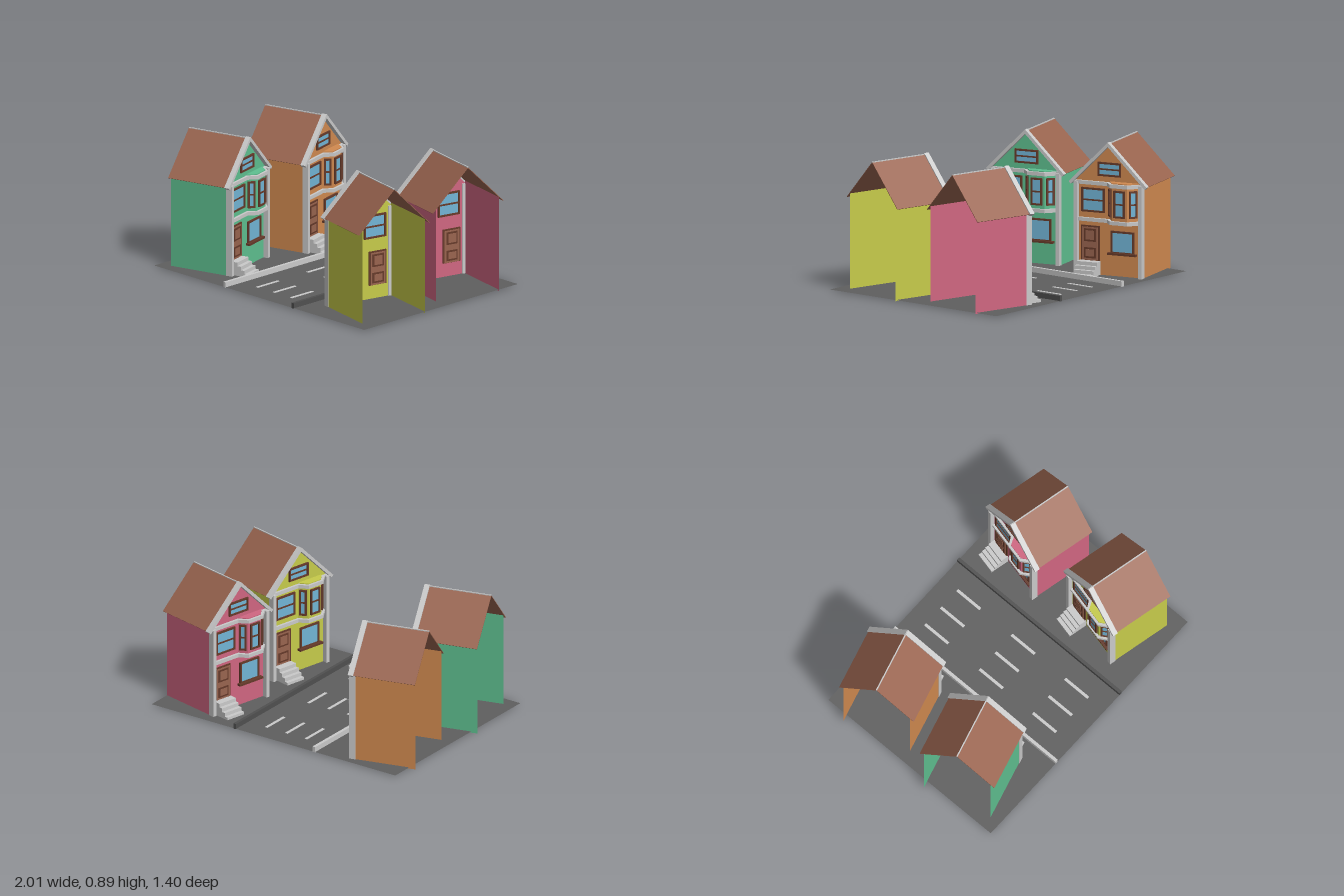
import * as THREE from 'three';

const mat = (name, color, side = THREE.FrontSide) => {
  const m = new THREE.MeshStandardMaterial({ color, side });
  m.name = name;
  return m;
};

export function createModel() {
  const green = mat('green wall', 0x5fc090, THREE.DoubleSide);
  const orange = mat('orange wall', 0xd18a50, THREE.DoubleSide);
  const pink = mat('pink wall', 0xd06681, THREE.DoubleSide);
  const yellow = mat('yellow wall', 0xc6cb4a, THREE.DoubleSide);
  const roofBrown = mat('roof brown', 0x99644f, THREE.DoubleSide);
  const frameBrown = mat('frame brown', 0x663a2a);
  const glass = mat('glass blue', 0x72b5d6);
  const white = mat('trim grey white', 0xcacaca);
  const asphalt = mat('asphalt', 0x5f5f5f, THREE.DoubleSide);
  const kerbDark = mat('dark kerb', 0x505050);

  const add = (parent, name, geo, material, x = 0, y = 0, z = 0) => {
    const m = new THREE.Mesh(geo, material);
    m.name = name;
    m.position.set(x, y, z);
    parent.add(m);
    return m;
  };
  // box given by its minimum and maximum corners
  const box = (parent, name, material, x0, x1, y0, y1, z0, z1) =>
    add(parent, name, new THREE.BoxGeometry(x1 - x0, y1 - y0, z1 - z0), material,
      (x0 + x1) / 2, (y0 + y1) / 2, (z0 + z1) / 2);
  // extrude a plan outline of [x, z] points upward from y0 to y1
  const plan = (parent, name, material, pts, y0, y1) => {
    const shape = new THREE.Shape(pts.map(([x, z]) => new THREE.Vector2(x, -z)));
    const geo = new THREE.ExtrudeGeometry(shape, { depth: y1 - y0, bevelEnabled: false });
    return add(parent, name, geo.rotateX(-Math.PI / 2), material, 0, y0, 0);
  };

  // framed window centred on its origin, facing +z
  function makeWindow(name, w, h, back, glassBack, bar = true) {
    const g = new THREE.Group();
    g.name = name;
    const t = 0.012, a = w / 2, b = h / 2, f = 0.012;
    box(g, 'glass', glass, -a + t, a - t, -b + t, b - t, glassBack, 0.005);
    for (const s of [-1, 1]) {
      box(g, 'frameUpright', frameBrown, s * (a - t / 2) - t / 2, s * (a - t / 2) + t / 2, -b, b, back, f);
      box(g, 'frameRail', frameBrown, -a + t, a - t, s * (b - t / 2) - t / 2, s * (b - t / 2) + t / 2, back, f);
    }
    if (bar) box(g, 'crossbar', frameBrown, -a + t, a - t, -0.005, 0.005, back, f - 0.002);
    return g;
  }

  const W = 0.24, D = 0.425, EAVE = 0.64, APEX = 0.88;
  const bay = [[0, 0], [0.04, 0.055], [0.15, 0.055], [0.205, 0]];

  function makeHouse(name, wall) {
    const h = new THREE.Group();
    h.name = name;

    // open shell: gabled front and two side walls
    const gable = new THREE.Shape([[-W, 0], [W, 0], [W, EAVE], [0, APEX], [-W, EAVE]]
      .map(([x, y]) => new THREE.Vector2(x, y)));
    add(h, 'frontWall', new THREE.ShapeGeometry(gable), wall);
    for (const s of [-1, 1]) {
      const side = add(h, 'sideWall', new THREE.PlaneGeometry(D, EAVE), wall, s * W, EAVE / 2, -D / 2);
      side.rotation.y = s * Math.PI / 2;
      // roof slope with barge board, and corner pilaster
      const slope = new THREE.Group();
      slope.name = 'roofSlope';
      slope.position.set(s * 0.135, 0.749, 0);
      slope.rotation.z = -s * Math.PI / 4;
      box(slope, 'roofPanel', roofBrown, -0.191, 0.191, -0.004, 0, -0.43, 0);
      box(slope, 'bargeBoard', white, -0.195, 0.195, -0.014, 0.007, -0.004, 0.032);
      h.add(slope);
      const px = s * (W - 0.009);
      box(h, 'pilaster', white, px - 0.013, px + 0.013, 0.008, 0.62, -0.008, 0.034);
    }
    box(h, 'ridgeCap', white, -0.004, 0.004, 0.878, 0.886, -0.43, 0);

    // projecting bay on the upper floor
    plan(h, 'bay', wall, bay, 0.36, 0.632);
    bay.slice(1).forEach(([x1, z1], i) => {
      const [x0, z0] = bay[i];
      const len = Math.hypot(x1 - x0, z1 - z0);
      const w = makeWindow('bayWindow', len * 0.72, 0.18, -0.002, -0.002);
      w.position.set((x0 + x1) / 2, 0.495, (z0 + z1) / 2);
      w.rotation.y = Math.atan2(z0 - z1, x1 - x0);
      h.add(w);
    });
    // string courses that follow the bay
    const course = [[-W, 0.001], [-W, 0.018], [-0.012, 0.018], [0.032, 0.071], [0.157, 0.071],
      [0.214, 0.018], [W, 0.018], [W, 0.001]];
    plan(h, 'lowerCourse', white, course, 0.358, 0.382);
    plan(h, 'upperCourse', white, course, 0.602, 0.626);

    // flat windows
    const place = (w, x, y) => { w.position.set(x, y, 0); h.add(w); };
    place(makeWindow('atticWindow', 0.165, 0.092, -0.012, -0.005), 0, 0.71);
    place(makeWindow('upperWindow', 0.165, 0.16, -0.012, -0.005), -0.115, 0.5);
    place(makeWindow('groundWindow', 0.165, 0.15, -0.012, 0.001, false), 0.093, 0.232);
    box(h, 'windowSill', frameBrown, -0.005, 0.195, 0.15, 0.164, -0.012, 0.028);

    // panelled door
    box(h, 'doorFrame', frameBrown, -0.202, -0.07, 0.1, 0.33, -0.008, 0.008);
    box(h, 'doorLeaf', roofBrown, -0.192, -0.08, 0.102, 0.32, -0.011, 0.011);
    for (const [y0, y1] of [[0.115, 0.185], [0.225, 0.31]]) {
      box(h, 'doorPanelFrame', frameBrown, -0.178, -0.094, y0, y1, -0.014, 0.014);
      box(h, 'doorPanel', roofBrown, -0.166, -0.106, y0 + 0.012, y1 - 0.012, -0.016, 0.016);
    }

    // entrance steps
    for (let i = 0; i < 4; i++) {
      box(h, 'step', white, -0.21, -0.066, 0.004, 0.098 - i * 0.024,
        i ? 0.03 + i * 0.026 : 0.001, 0.056 + i * 0.026);
    }
    return h;
  }

  const model = new THREE.Group();
  model.name = 'street';

  // ground, kerbs and lane markings
  const ground = add(model, 'ground', new THREE.PlaneGeometry(1.94, 1.4), asphalt, 0.02, 0.008, 0);
  ground.rotation.x = -Math.PI / 2;
  box(model, 'leftKerb', white, -0.312, -0.29, 0.005, 0.042, -0.7, 0.7);
  box(model, 'rightKerb', kerbDark, 0.318, 0.34, 0.005, 0.042, -0.7, 0.7);
  for (const x of [-0.145, 0.01, 0.17])
    for (const z of [-0.47, 0, 0.46])
      box(model, 'laneMark', white, x - 0.01, x + 0.01, 0.005, 0.011, z - 0.1, z + 0.1);

  // two houses on each side, turned towards the road
  const houses = [
    ['greenHouse', green, -0.52, 0.285, 105], ['orangeHouse', orange, -0.52, -0.41, 105],
    ['yellowHouse', yellow, 0.525, 0.285, -103], ['pinkHouse', pink, 0.525, -0.388, -103],
  ];
  for (const [name, wall, x, z, deg] of houses) {
    const h = makeHouse(name, wall);
    h.position.set(x, 0, z);
    h.rotation.y = THREE.MathUtils.degToRad(deg);
    model.add(h);
  }
  return model;
}
